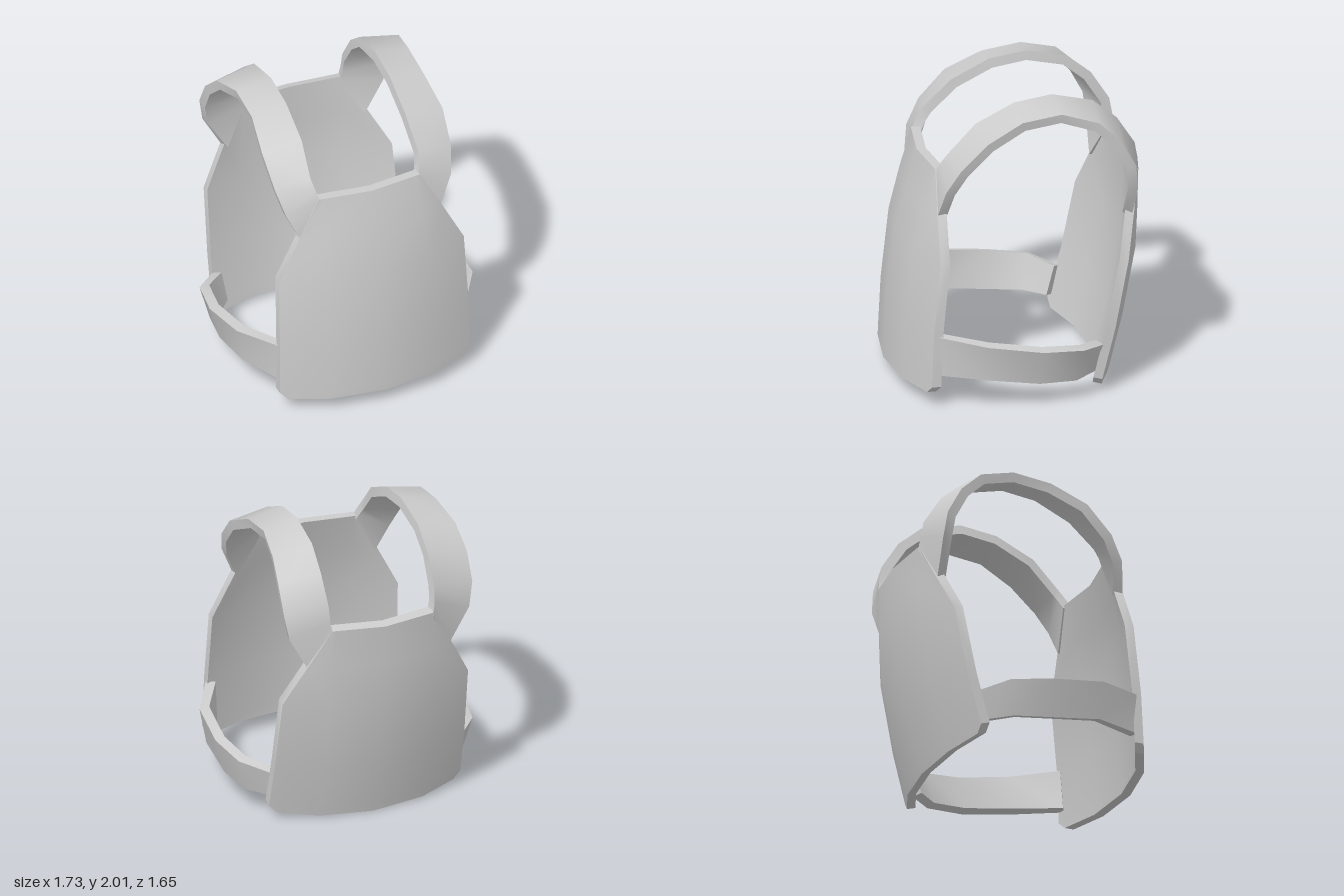
import * as THREE from 'three';
import { toCreasedNormals } from 'three/addons/utils/BufferGeometryUtils.js';

const V = (x, y, z) => new THREE.Vector3(x, y, z);

// Skin closed cross-section rings into a capped solid, facing outwards
function loft(name, rings) {
  const n = rings[0].length, tris = [];
  const quad = (a, b, c, d) => tris.push([a, b, c], [a, c, d]);
  for (let r = 0; r < rings.length - 1; r++) {
    const p = rings[r], q = rings[r + 1];
    for (let i = 0; i < n; i++) {
      const j = (i + 1) % n;
      quad(p[i], p[j], q[j], q[i]);
    }
  }
  const first = rings[0], last = rings[rings.length - 1];
  for (let i = 0; i < n / 2 - 1; i++) {
    quad(last[i], last[i + 1], last[n - 2 - i], last[n - 1 - i]);
    quad(first[n - 1 - i], first[n - 2 - i], first[i + 1], first[i]);
  }
  // a negative enclosed volume means the shape was mirrored: reverse the corners
  let volume = 0;
  for (const [a, b, c] of tris) volume += a.dot(b.clone().cross(c));
  if (volume < 0) tris.forEach((t) => t.reverse());

  const geo = new THREE.BufferGeometry().setFromPoints(tris.flat());
  const mesh = new THREE.Mesh(toCreasedNormals(geo, 0.6),
    new THREE.MeshStandardMaterial({ color: 0xcccccc }));
  mesh.name = name;
  return mesh;
}

// Curved chest panel; place() moves each point to its final position
function plate(name, place) {
  const thickness = 0.062;
  // height, half width, depth of the centre line
  const rows = [
    [0.09, 0.62, 0.83], [0.14, 0.67, 0.828], [0.5, 0.663, 0.81],
    [0.98, 0.65, 0.757], [1.28, 0.495, 0.682], [1.54, 0.355, 0.61],
  ];
  const drop = (x) => (x < 0.36 ? x * 0.125 : 0.045 + (x - 0.36) * 0.4);
  return loft(name, rows.map(([y, w, z]) => {
    const fold = Math.min(0.36, w * 0.92);
    const xs = [-w, -fold, 0, fold, w];
    const face = xs.map((x) => V(x, y, z - drop(Math.abs(x))));
    const back = face.map((p) => V(p.x, p.y, p.z - thickness)).reverse();
    return [...face, ...back].map(place);
  }));
}

// Flat strap running through pairs of edge points, thickened inwards
function strap(name, stations, side) {
  const thickness = 0.065;
  const pairs = stations.map(([a, b]) => [V(...a), V(...b)]);
  const mid = pairs.map(([a, b]) => a.clone().add(b).multiplyScalar(0.5));
  const rings = pairs.map(([a, b], i) => {
    const along = mid[Math.min(i + 1, mid.length - 1)].clone().sub(mid[Math.max(i - 1, 0)]);
    const inward = along.cross(b.clone().sub(a)).normalize().multiplyScalar(thickness);
    return [a, b, b.clone().add(inward), a.clone().add(inward)]
      .map((p) => V(p.x * side, p.y, p.z));
  });
  return loft(name, rings);
}

// Front to back: neck edge, then arm edge
const SHOULDER = [
  [[0.35, 1.53, 0.56], [0.495, 1.27, 0.58]],
  [[0.365, 1.59, 0.53], [0.58, 1.46, 0.545]],
  [[0.38, 1.66, 0.48], [0.62, 1.62, 0.455]],
  [[0.365, 1.84, 0.30], [0.635, 1.80, 0.28]],
  [[0.365, 1.965, 0.045], [0.605, 1.92, 0.04]],
  [[0.365, 2.0, -0.205], [0.605, 1.955, -0.22]],
  [[0.37, 1.935, -0.475], [0.64, 1.885, -0.46]],
  [[0.375, 1.80, -0.635], [0.66, 1.75, -0.605]],
  [[0.37, 1.61, -0.755], [0.66, 1.57, -0.70]],
  [[0.365, 1.50, -0.775], [0.63, 1.40, -0.72]],
  [[0.35, 1.41, -0.785], [0.50, 1.165, -0.71]],
];

// Front to back: top edge, then bottom edge
const WAIST = [
  [[0.665, 0.485, 0.61], [0.65, 0.215, 0.625]],
  [[0.83, 0.455, 0.32], [0.785, 0.205, 0.31]],
  [[0.867, 0.40, -0.04], [0.80, 0.155, -0.03]],
  [[0.82, 0.37, -0.32], [0.765, 0.14, -0.28]],
  [[0.66, 0.33, -0.485], [0.64, 0.14, -0.43]],
];

export function createModel() {
  const model = new THREE.Group();
  model.name = 'chestArmour';

  model.add(plate('frontPlate', (p) => p));

  // Back plate: the front plate turned round and tilted about its top edge
  const tilt = new THREE.Euler(-0.294, 0, 0);
  model.add(plate('backPlate', (p) => V(p.x, p.y - 1.54, 0.61 - p.z)
    .multiply(V(1, 0.985, 1)).applyEuler(tilt).add(V(0, 1.425, -0.825))));

  for (const [label, side] of [['left', 1], ['right', -1]]) {
    model.add(strap(label + 'ShoulderStrap', SHOULDER, side));
    model.add(strap(label + 'WaistStrap', WAIST, side));
  }
  return model;
}
